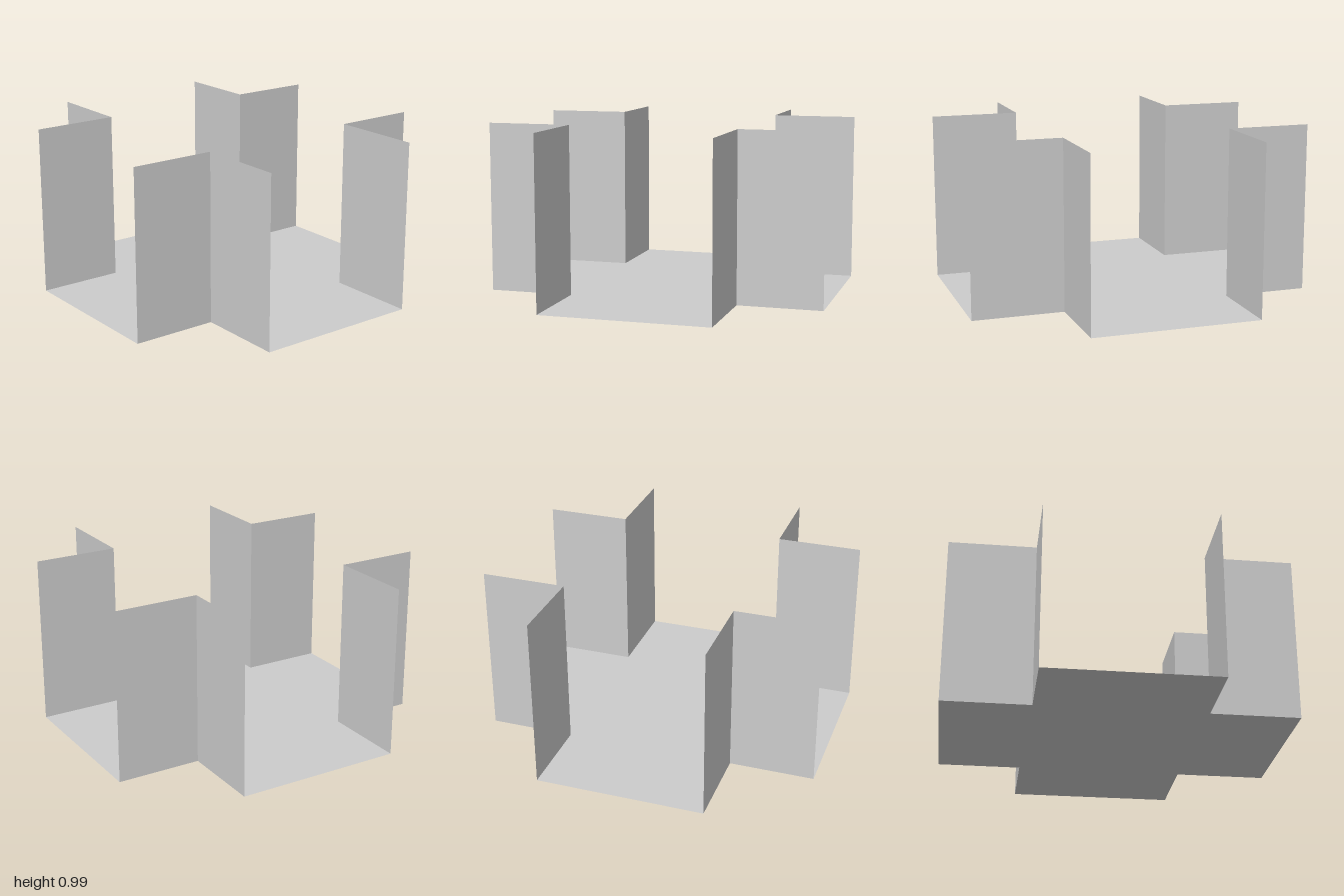
import * as THREE from 'three';

const HEIGHT = 0.985;
const INNER_X = 0.49, OUTER_X = 0.98, OUTER_Z = 1;

// Inner corners of the cross; the two side arms sit slightly offset in z
const CORNERS = [
  { name: 'frontLeftCorner', sx: 1, sz: 1, z: 0.47 },
  { name: 'backLeftCorner', sx: 1, sz: -1, z: -0.51 },
  { name: 'backRightCorner', sx: -1, sz: -1, z: -0.495 },
  { name: 'frontRightCorner', sx: -1, sz: 1, z: 0.485 },
];

export function createModel() {
  const model = new THREE.Group();
  model.name = 'crossShapedEnclosure';
  const material = new THREE.MeshStandardMaterial({
    color: 0xcccccc, side: THREE.DoubleSide, flatShading: true,
  });

  // Cross-shaped floor, drawn as (x, -z) and laid flat facing up
  const outline = [];
  CORNERS.forEach(({ sx, sz, z }) => {
    const points = [
      new THREE.Vector2(sx * INNER_X, -sz * OUTER_Z),
      new THREE.Vector2(sx * INNER_X, -z),
      new THREE.Vector2(sx * OUTER_X, -z),
    ];
    outline.push(...(sx === sz ? points : points.reverse()));
  });
  const floor = new THREE.Mesh(new THREE.ShapeGeometry(new THREE.Shape(outline)), material);
  floor.geometry.rotateX(-Math.PI / 2);
  floor.name = 'floor';
  model.add(floor);

  // A thin upright panel standing between two floor points
  const addWall = (parent, name, x1, z1, x2, z2) => {
    const length = Math.hypot(x2 - x1, z2 - z1);
    const wall = new THREE.Mesh(new THREE.PlaneGeometry(length, HEIGHT), material);
    wall.position.set((x1 + x2) / 2, HEIGHT / 2, (z1 + z2) / 2);
    wall.rotation.y = Math.atan2(z1 - z2, x2 - x1);
    wall.name = name;
    parent.add(wall);
  };

  // Two walls meeting at each inner corner
  CORNERS.forEach(({ name, sx, sz, z }) => {
    const corner = new THREE.Group();
    corner.name = name;
    addWall(corner, 'sideArmWall', sx * INNER_X, z, sx * OUTER_X, z);
    addWall(corner, 'endArmWall', sx * INNER_X, z, sx * INNER_X, sz * OUTER_Z);
    model.add(corner);
  });

  return model;
}
